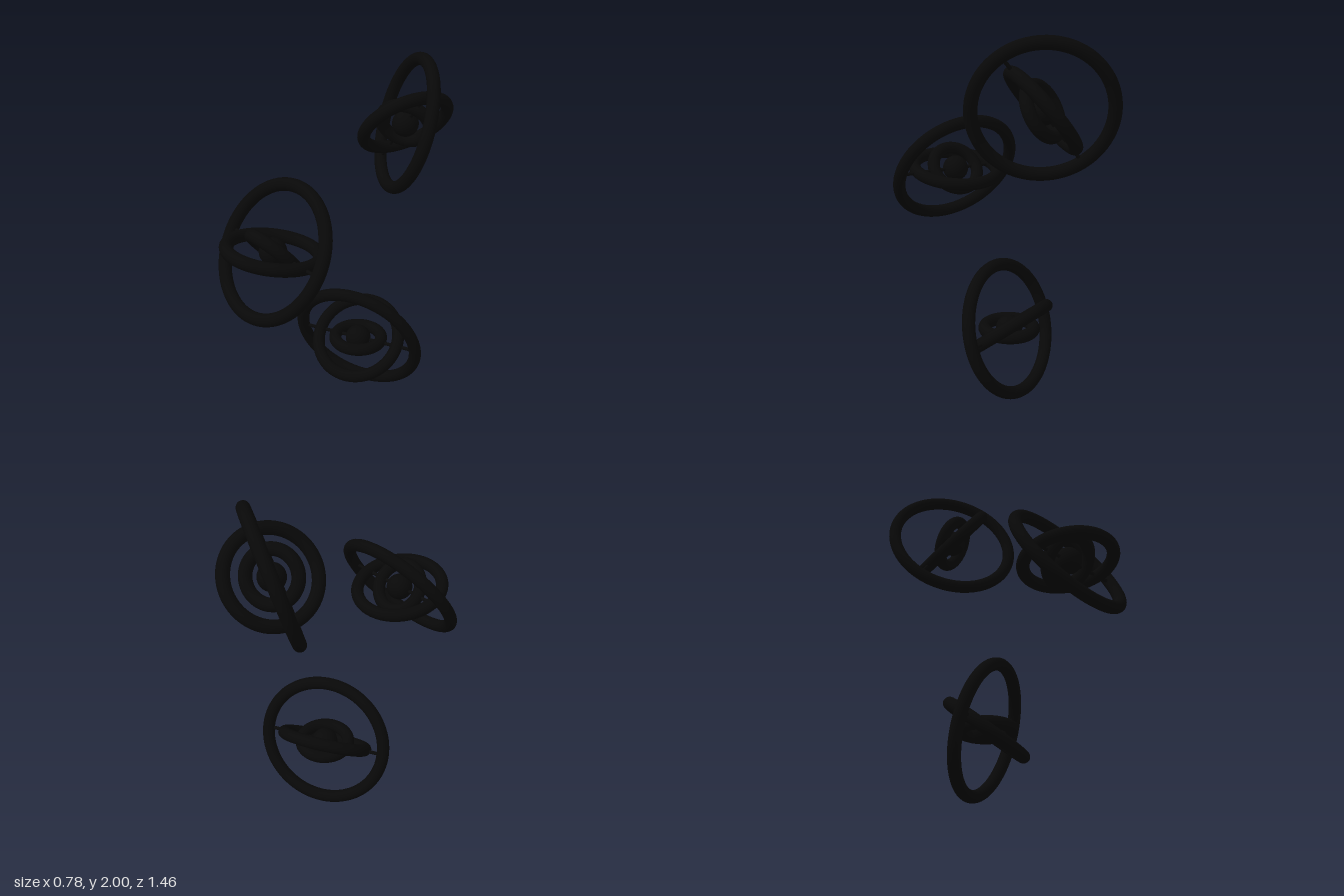
import * as THREE from 'three';

const black = new THREE.MeshStandardMaterial({ color: 0x080808 });
const TUBE = 0.035;
const deg = THREE.MathUtils.degToRad;

function add(group, name, geometry) {
  const mesh = new THREE.Mesh(geometry, black);
  mesh.name = name;
  group.add(mesh);
  return mesh;
}

// One gyroscope: three nested rings swung about a shared axle (local x)
function gyroscope(name) {
  const g = new THREE.Group();
  g.name = name;
  const rings = [
    ['outerRing', 0.353, 0],
    ['middleRing', 0.24, -69.5],
    ['innerRing', 0.135, 71.5],
  ];
  for (const [ringName, radius, angle] of rings) {
    add(g, ringName, new THREE.TorusGeometry(radius, TUBE, 24, 96)).rotation.x = deg(angle);
  }
  add(g, 'core', new THREE.SphereGeometry(0.073, 32, 24));
  add(g, 'axle', new THREE.CylinderGeometry(0.01, 0.01, 0.706, 16)).rotation.z = Math.PI / 2;
  return g;
}

export function createModel() {
  const model = new THREE.Group();
  model.name = 'gyroscopes';

  // name, centre, axle direction, normal of the outer ring
  const placements = [
    ['frontGyroscope', [0, 1.16, 0.458], [1, 0, 0], [0, 0.521, 0.854]],
    ['lowerGyroscope', [0, 0.372, -0.138], [0.907, 0, -0.42], [0.4, -0.3, 0.865]],
    ['upperGyroscope', [0.012, 1.626, -0.458], [0.628, 0.773, 0.089], [-0.473, 0.288, 0.834]],
  ];
  for (const [name, centre, axle, normal] of placements) {
    const g = gyroscope(name);
    const x = new THREE.Vector3(...axle).normalize();
    const y = new THREE.Vector3(...normal).cross(x).normalize();
    const z = x.clone().cross(y);
    g.quaternion.setFromRotationMatrix(new THREE.Matrix4().makeBasis(x, y, z));
    g.position.set(...centre);
    model.add(g);
  }
  return model;
}
